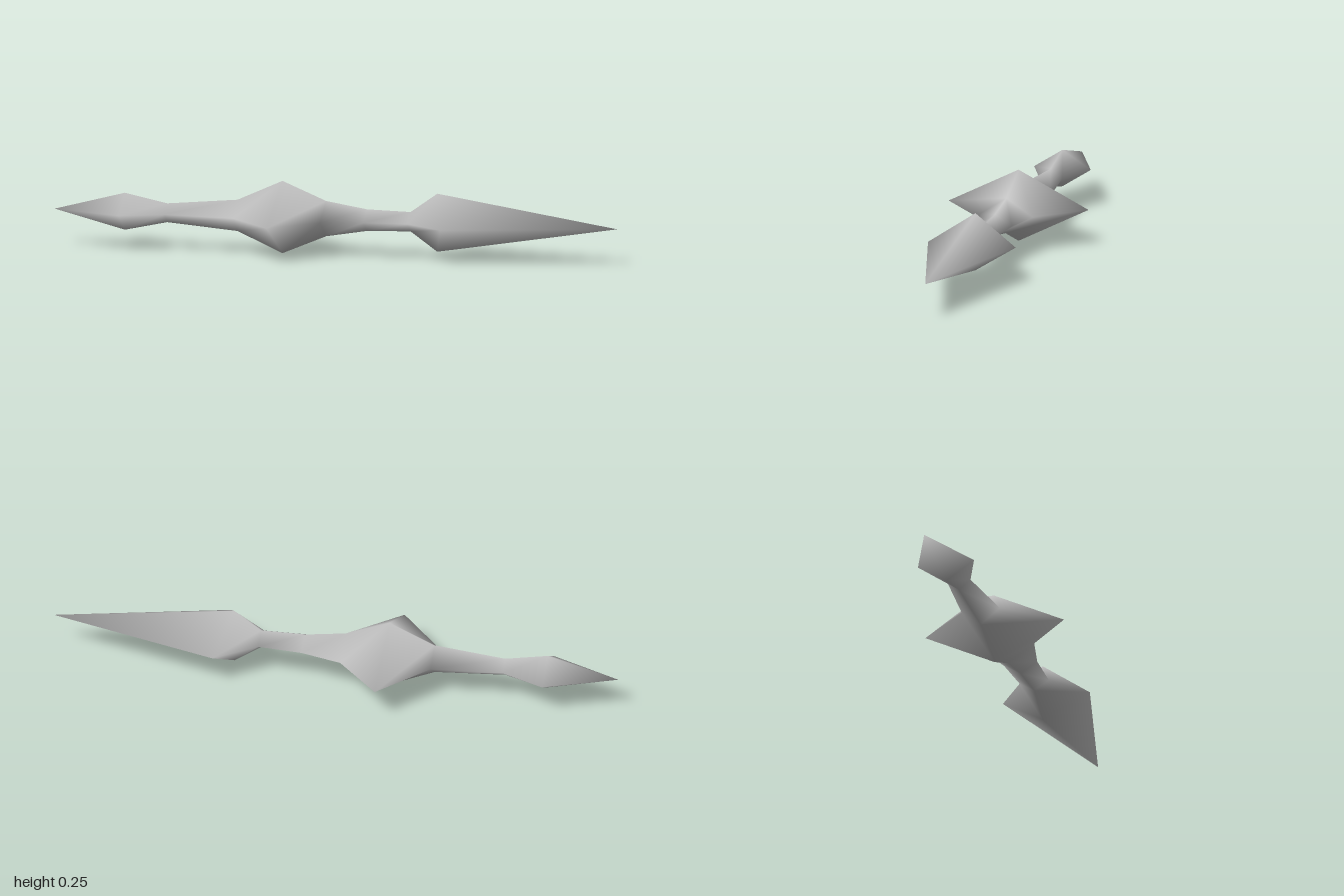
import * as THREE from 'three';

const MID_Y = 0.128;

// Diamond cross-sections along x: [x of top and bottom, x of sides, half height, half depth]
const SECTIONS = [
  [-0.75, -0.75, 0.065, 0.102],
  [-0.6, -0.6, 0.033, 0.042],
  [-0.35, -0.35, 0.055, 0.069],
  [-0.19, -0.19, 0.127, 0.252],
  [-0.035, -0.035, 0.062, 0.095],
  [0.11, 0.11, 0.038, 0.06],
  [0.265, 0.265, 0.034, 0.053],
  [0.36, 0.405, 0.102, 0.158],
];

// Closed loft through the diamonds, ending in a point at both ends
function diamondLoft(sections, startX, endX) {
  const positions = [];
  const index = [];
  for (const [xTop, xSide, h, d] of sections) {
    positions.push(xTop, MID_Y + h, 0, xSide, MID_Y, d, xTop, MID_Y - h, 0, xSide, MID_Y, -d);
  }
  const start = sections.length * 4;
  const end = start + 1;
  positions.push(startX, MID_Y, 0, endX, MID_Y, 0);

  const last = (sections.length - 1) * 4;
  for (let k = 0; k < 4; k++) {
    const n = (k + 1) % 4;
    index.push(start, n, k);
    for (let r = 0; r < last; r += 4) {
      const a = r + k, b = r + n, c = b + 4, e = a + 4;
      index.push(a, b, e, b, c, e);
    }
    index.push(last + k, last + n, end);
  }

  const geometry = new THREE.BufferGeometry();
  geometry.setAttribute('position', new THREE.Float32BufferAttribute(positions, 3));
  geometry.setIndex(index);
  geometry.computeVertexNormals();
  return geometry;
}

export function createModel() {
  const group = new THREE.Group();
  group.name = 'pointedSpindle';

  const grey = new THREE.MeshStandardMaterial({ color: 0xc4c4c4 });
  grey.name = 'light grey';

  // Pommel, grip, central guard, neck and long blade as one smooth skin
  const body = new THREE.Mesh(diamondLoft(SECTIONS, -1, 1), grey);
  body.name = 'spindleBody';
  group.add(body);

  return group;
}
